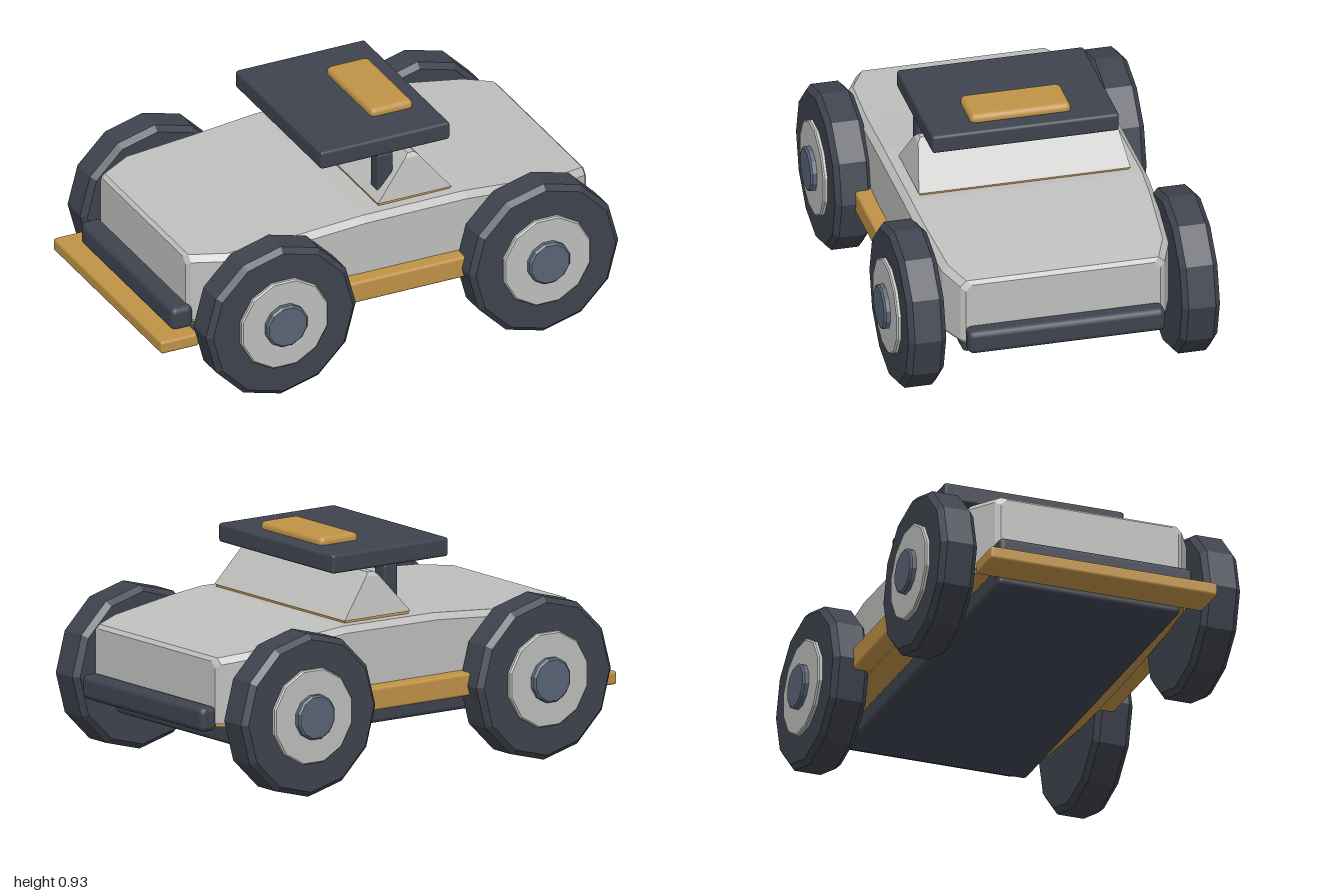
import * as THREE from 'three';
import { RoundedBoxGeometry } from 'three/addons/geometries/RoundedBoxGeometry.js';
import { ConvexGeometry } from 'three/addons/geometries/ConvexGeometry.js';

const mat = (name, color, flatShading = false) => {
  const m = new THREE.MeshStandardMaterial({ color, flatShading });
  m.name = name;
  return m;
};

// Skin closed cross-sections along x; each station is [x, halfWidth, bottom, top, chamfer]
function loft(stations) {
  const rings = stations.map(([x, w, b, t, c]) => [
    [w, b], [w, t - c], [w - c, t], [c - w, t], [-w, t - c], [-w, b],
  ].map(([z, y]) => [x, y, z]));
  const pos = [];
  const tri = (...pts) => pts.forEach((p) => pos.push(...p));
  const n = rings[0].length;
  for (let s = 0; s < rings.length - 1; s++) {
    const p = rings[s], q = rings[s + 1];
    for (let i = 0; i < n; i++) {
      const j = (i + 1) % n;
      tri(p[i], q[i], p[j]);
      tri(q[i], q[j], p[j]);
    }
  }
  const first = rings[0], last = rings[rings.length - 1];
  for (let i = 1; i < n - 1; i++) {
    tri(first[0], first[i], first[i + 1]);
    tri(last[0], last[i + 1], last[i]);
  }
  const g = new THREE.BufferGeometry();
  g.setAttribute('position', new THREE.Float32BufferAttribute(pos, 3));
  g.computeVertexNormals();
  return g;
}

// Chamfered disc with its axis on z, from z0 to z1
function disc(radius, z0, z1, bevel, turn) {
  const pts = [[0, z0], [radius - bevel, z0], [radius, z0 + bevel],
    [radius, z1 - bevel], [radius - bevel, z1], [0, z1]];
  return new THREE.LatheGeometry(pts.map(([r, y]) => new THREE.Vector2(r, y)), 12)
    .rotateY(turn).rotateX(Math.PI / 2);
}

export function createModel() {
  const model = new THREE.Group();
  model.name = 'buggy';
  const white = mat('pale grey paint', 0xbfc0be, true);
  const gold = mat('ochre trim', 0xc09347);
  const dark = mat('dark slate', 0x3e434e);
  const tyreMat = mat('tyre slate', 0x3e434e, true);
  const capMat = mat('hub cap steel', 0x5a6576, true);

  const add = (name, geometry, material, parent = model) => {
    const m = new THREE.Mesh(geometry, material);
    m.name = name;
    parent.add(m);
    return m;
  };
  // Bevelled box given by its limits on each axis
  const box = (name, [x0, x1], [y0, y1], [z0, z1], bevel, material) => {
    const g = new RoundedBoxGeometry(x1 - x0, y1 - y0, z1 - z0, 2, bevel);
    g.translate((x0 + x1) / 2, (y0 + y1) / 2, (z0 + z1) / 2);
    return add(name, g, material);
  };

  // Body shell: [x, half width, top]
  const outline = [
    [-0.84, 0.38, 0.57], [-0.825, 0.4, 0.583], [-0.69, 0.472, 0.592], [-0.4, 0.488, 0.607],
    [-0.1, 0.497, 0.632], [0.35, 0.498, 0.635], [0.5, 0.492, 0.62],
    [0.8, 0.466, 0.582], [0.915, 0.42, 0.565], [0.93, 0.4, 0.55],
  ];
  add('body', loft(outline.map(([x, w, t]) => [x, w, 0.3, t, 0.025])), white);
  add('bellyTrim', loft(outline.map(([x, w]) => [x * 0.99, w - 0.01, 0.285, 0.302, 0.003])), gold);

  // Underside, sills and bumpers
  box('chassis', [-0.84, 0.84], [0.195, 0.285], [-0.39, 0.39], 0.02, dark);
  for (const s of [-1, 1]) {
    const z = [0.45 * s, 0.56 * s].sort((a, b) => a - b);
    box('sideSill', [-0.5, 0.6], [0.293, 0.386], z, 0.012, gold);
  }
  box('frontBumper', [0.92, 1.0], [0.27, 0.37], [-0.405, 0.405], 0.025, dark);
  box('rearBumper', [-0.915, -0.82], [0.27, 0.37], [-0.415, 0.415], 0.025, dark);
  box('rearPlate', [-1.0, -0.83], [0.225, 0.28], [-0.485, 0.485], 0.012, gold);

  // Wedge cabin on its thin trim plate
  const corners = [];
  for (const [x0, x1, y, w] of [[-0.012, 0.315, 0.644, 0.435],
    [0.123, 0.187, 0.802, 0.405], [0.14, 0.17, 0.818, 0.392]]) {
    for (const x of [x0, x1]) for (const z of [-w, w]) corners.push(new THREE.Vector3(x, y, z));
  }
  add('cabin', new ConvexGeometry(corners), white);
  box('cabinTrim', [-0.008, 0.311], [0.63, 0.646], [-0.43, 0.43], 0.003, gold);

  // Roof panel on two posts, with the raised block
  for (const z of [-0.35, 0.35]) {
    box('roofPost', [0.012, 0.082], [0.6, 0.835], [z - 0.035, z + 0.035], 0.012, dark);
  }
  box('roof', [-0.24, 0.335], [0.828, 0.905], [-0.384, 0.384], 0.012, dark);
  box('roofBlock', [0.073, 0.262], [0.816, 0.936], [-0.207, 0.207], 0.022, gold);

  // Wheels
  for (const x of [-0.535, 0.632]) {
    for (const side of [1, -1]) {
      const wheel = new THREE.Group();
      wheel.name = 'wheel';
      add('tyre', disc(0.333, 0.485, 0.64, 0.022, 0), tyreMat, wheel);
      add('hub', disc(0.198, 0.6, 0.657, 0.006, Math.PI / 12), white, wheel);
      add('hubCap', disc(0.093, 0.62, 0.682, 0.008, Math.PI / 12), capMat, wheel);
      wheel.position.set(x, 0.335, 0);
      if (side < 0) wheel.rotation.y = Math.PI;
      model.add(wheel);
    }
  }
  return model;
}
